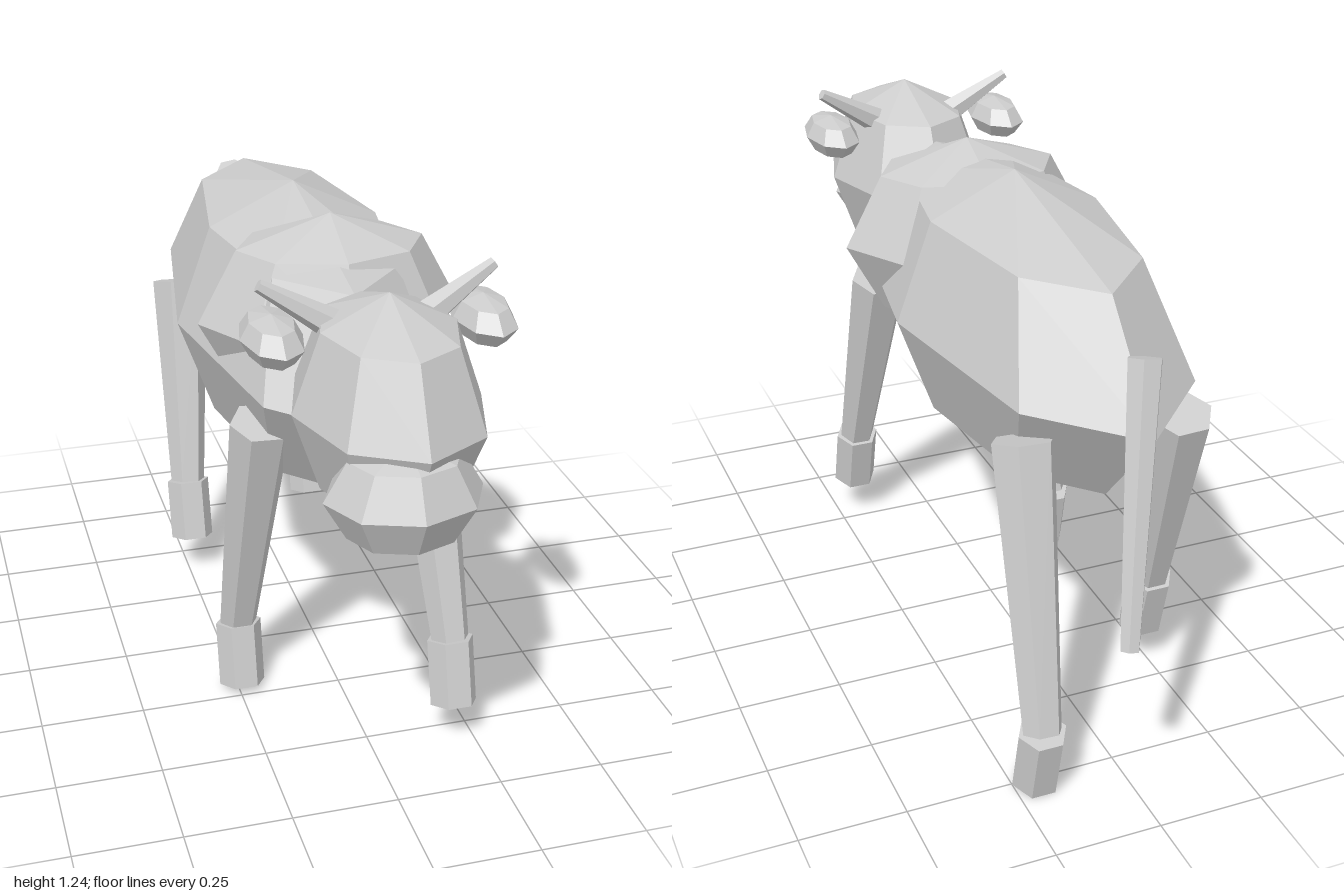
import * as THREE from 'three';

export function createModel() {
  const model = new THREE.Group();
  model.name = 'cow';
  const hide = new THREE.MeshStandardMaterial({ color: 0xcccccc, flatShading: true });
  hide.name = 'plain grey';
  const MID = -0.02; // centre line of the animal

  function add(name, geometry) {
    const mesh = new THREE.Mesh(geometry, hide);
    mesh.name = name;
    model.add(mesh);
    return mesh;
  }

  // Faceted ellipsoid: eight sides, four bands
  function blob(name, centre, radii) {
    const g = new THREE.SphereGeometry(1, 8, 4).scale(...radii);
    add(name, g).position.set(...centre);
  }

  // Tapered six-sided rod between two points
  function rod(name, from, to, r0, r1) {
    const a = new THREE.Vector3(...from), b = new THREE.Vector3(...to);
    const dir = b.clone().sub(a);
    // The wide end stays on top so corners keep facing sideways
    const down = dir.y < 0;
    const g = new THREE.CylinderGeometry(down ? r0 : r1, down ? r1 : r0, dir.length(), 6, 1, false, Math.PI / 6);
    const rodMesh = add(name, g);
    rodMesh.position.copy(a).add(b).multiplyScalar(0.5);
    if (down) dir.negate();
    rodMesh.quaternion.setFromUnitVectors(new THREE.Vector3(0, 1, 0), dir.normalize());
  }

  // Torso, shoulders and head
  blob('body', [MID, 0.885, -0.1], [0.295, 0.34, 0.75]);
  blob('shoulderHump', [0, 0.983, 0.155], [0.315, 0.242, 0.22]);
  blob('head', [MID, 0.975, 0.67], [0.207, 0.25, 0.285]);
  blob('muzzle', [-0.042, 0.863, 0.855], [0.17, 0.122, 0.145]);

  // Ears and horns
  for (const [side, s] of [['left', 1], ['right', -1]]) {
    blob(side + 'Ear', [MID + s * 0.23, 1.122, 0.597], [0.067, 0.052, 0.127]);
    rod(side + 'Horn', [MID + s * 0.1, 1.14, 0.608], [MID + s * 0.255, 1.235, 0.588], 0.034, 0.014);
  }

  // Legs in mid-stride: [name, side, top, ankle, sole], each as [y, z]
  const legs = [
    ['frontLeft', 1, [0.805, 0.35], [0.27, 0.515], [0.115, 0.555]],
    ['frontRight', -1, [0.8, 0.33], [0.18, 0.17], [0.022, 0.203]],
    ['backLeft', 1, [0.81, -0.61], [0.18, -0.8], [0.022, -0.765]],
    ['backRight', -1, [0.8, -0.61], [0.27, -0.445], [0.115, -0.405]],
  ];
  for (const [name, s, top, ankle, sole] of legs) {
    const foot = MID + s * 0.218;
    rod(name + 'Leg', [MID + s * 0.19, ...top], [foot, ...ankle], 0.074, 0.046);
    rod(name + 'Hoof', [foot, ...ankle], [foot, ...sole], 0.057, 0.057);
  }

  // Tail swinging to one side
  rod('tail', [MID, 1.05, -0.79], [0.083, 0.482, -0.977], 0.04, 0.022);

  return model;
}
